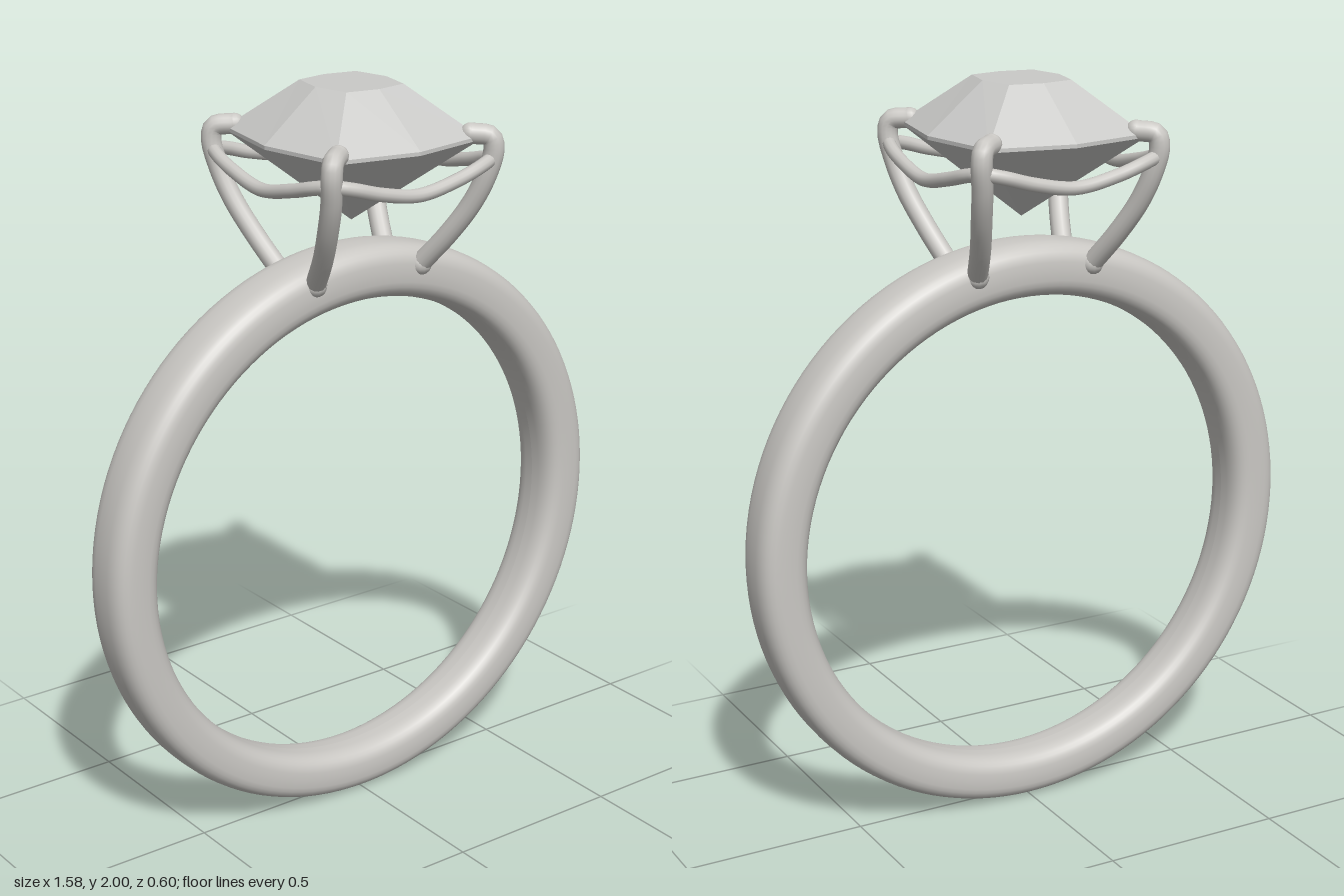
import * as THREE from 'three';

const v = (x, y, z) => new THREE.Vector3(x, y, z);

// Band: rounded-square section swept round, wider and thicker towards the top
function bandGeometry() {
  const R = 0.79, section = [];
  const pow = (c) => Math.sign(c) * Math.abs(c) ** 0.68;
  for (let i = 0; i <= 32; i++) {
    const a = Math.PI + (i / 32) * Math.PI * 2;
    section.push(new THREE.Vector2(R - 0.07 + 0.07 * pow(Math.cos(a)), 0.083 * pow(Math.sin(a))));
  }
  const geo = new THREE.LatheGeometry(section, 128).rotateX(Math.PI / 2);
  const p = geo.attributes.position;
  for (let i = 0; i < p.count; i++) {
    const x = p.getX(i), y = p.getY(i), r = Math.hypot(x, y), up = y / r;
    const k = (R - (R - r) * (1 + 0.07 * up)) / r;
    p.setXYZ(i, x * k, y * k + R, p.getZ(i) * (1 + 0.08 * up));
  }
  return geo;
}

// Stone: stacked eight-point cushion outlines, joined by flat facets
function stoneGeometry() {
  const outline = (y, mx, mz, cx, cz) => [
    v(mx, y, 0), v(cx, y, cz), v(0, y, mz), v(-cx, y, cz),
    v(-mx, y, 0), v(-cx, y, -cz), v(0, y, -mz), v(cx, y, -cz)];
  const rings = [
    outline(2, 0, 0, 0, 0),
    outline(2, 0.112, 0.117, 0.09, 0.1),
    outline(1.872, 0.27, 0.285, 0.225, 0.24),
    outline(1.862, 0.27, 0.285, 0.225, 0.24),
    outline(1.64, 0, 0, 0, 0)];
  const pts = [];
  for (let r = 0; r < rings.length - 1; r++) {
    for (let i = 0; i < 8; i++) {
      const j = (i + 1) % 8, a = rings[r], b = rings[r + 1];
      if (r > 0) pts.push(a[i], a[j], b[i]);
      if (r < rings.length - 2) pts.push(a[j], b[j], b[i]);
    }
  }
  const geo = new THREE.BufferGeometry().setFromPoints(pts);
  geo.computeVertexNormals();
  return geo;
}

export function createModel() {
  const metal = new THREE.MeshStandardMaterial({ color: 0xcac8c4 });
  metal.name = 'polished metal';
  const gem = new THREE.MeshStandardMaterial({ color: 0xcacac8 });
  gem.name = 'clear stone';

  const ring = new THREE.Group();
  ring.name = 'ring';
  const add = (parent, name, geo, mat) => {
    const mesh = new THREE.Mesh(geo, mat);
    mesh.name = name;
    parent.add(mesh);
    return mesh;
  };

  add(ring, 'band', bandGeometry(), metal);
  add(ring, 'stone', stoneGeometry(), gem);

  // Four claws rising from the band and hooking over the stone's corners
  const clawPath = [
    [0.17, 1.51, 0.075], [0.2, 1.6, 0.15], [0.228, 1.69, 0.21], [0.245, 1.77, 0.247],
    [0.255, 1.84, 0.263], [0.248, 1.872, 0.258], [0.208, 1.88, 0.225]];
  const r = 0.027;
  for (const sx of [1, -1]) for (const sz of [1, -1]) {
    const claw = new THREE.Group();
    claw.name = `${sz > 0 ? 'front' : 'back'}${sx > 0 ? 'Left' : 'Right'}Claw`;
    const path = clawPath.map(([x, y, z]) => v(x * sx, y, z * sz));
    add(claw, 'clawWire', new THREE.TubeGeometry(new THREE.CatmullRomCurve3(path), 40, r, 14), metal);
    add(claw, 'clawTip', new THREE.SphereGeometry(r, 14, 10), metal).position.copy(path.at(-1));
    add(claw, 'clawFoot', new THREE.SphereGeometry(r * 1.15, 14, 10), metal).position.copy(path[0]);
    ring.add(claw);
  }

  // Gallery rail: closed wire dipping between the claws
  const quarter = [
    [0.281, 1.762, 0], [0.278, 1.785, 0.13], [0.268, 1.807, 0.215], [0.25, 1.815, 0.258],
    [0.2, 1.805, 0.278], [0.12, 1.782, 0.282], [0, 1.762, 0.282]];
  const half = [...quarter, ...quarter.slice(0, -1).reverse().map(([x, y, z]) => [-x, y, z])];
  const loop = [...half, ...half.slice(1, -1).reverse().map(([x, y, z]) => [x, y, -z])];
  const railCurve = new THREE.CatmullRomCurve3(loop.map((p) => v(...p)), true);
  add(ring, 'galleryRail', new THREE.TubeGeometry(railCurve, 160, 0.018, 12, true), metal);

  return ring;
}
